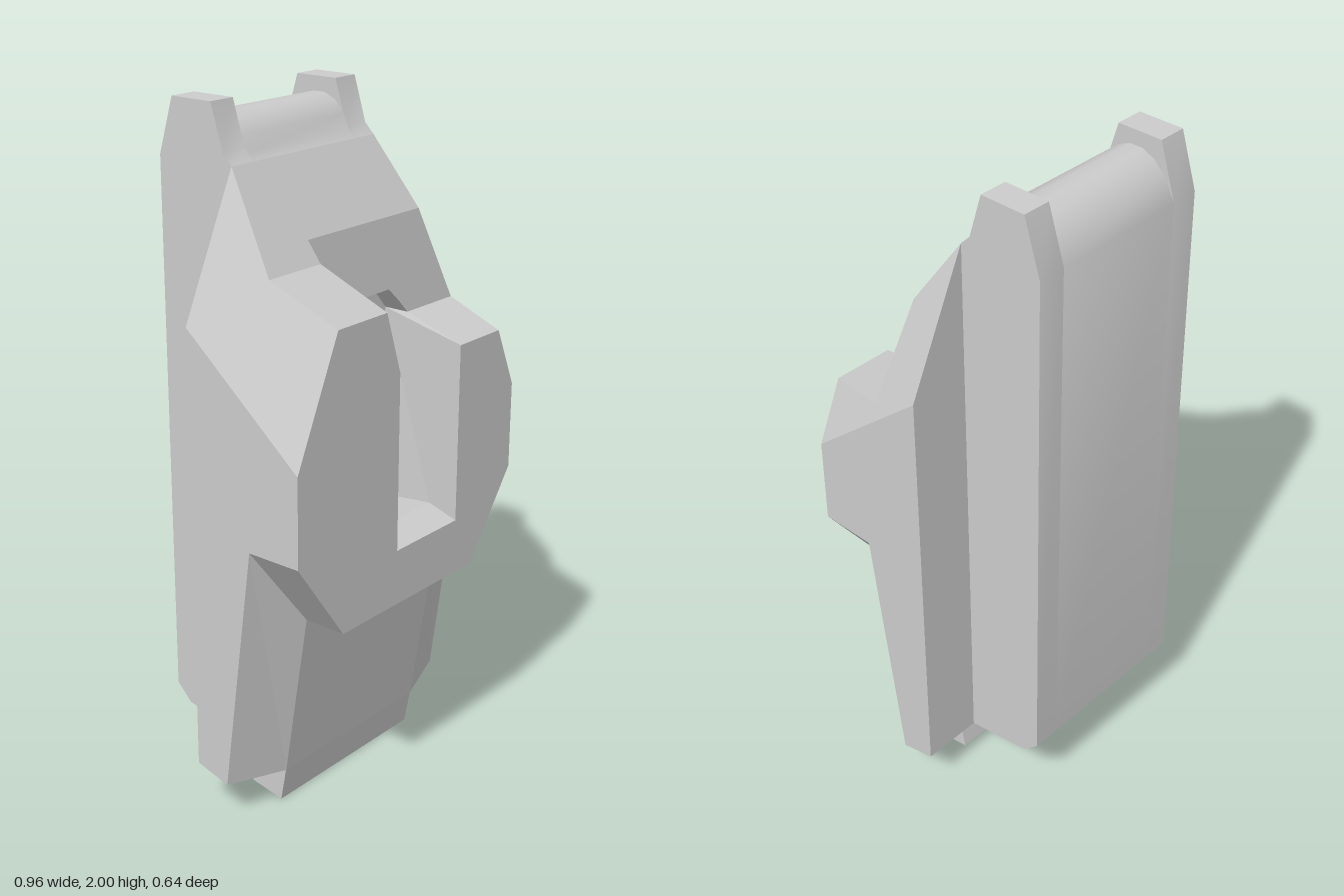
import * as THREE from 'three';
import { toCreasedNormals } from 'three/addons/utils/BufferGeometryUtils.js';

const material = new THREE.MeshStandardMaterial({ color: 0xcccccc, side: THREE.DoubleSide });
const flatMaterial = material.clone();
flatMaterial.flatShading = true;

// Triangulates flat polygons, each projected along its dominant axis.
function polygons(list) {
  const pos = [];
  for (const poly of list) {
    const n = new THREE.Vector3();
    poly.forEach((p, i) => {
      const q = poly[(i + 1) % poly.length];
      n.x += (p[1] - q[1]) * (p[2] + q[2]);
      n.y += (p[2] - q[2]) * (p[0] + q[0]);
      n.z += (p[0] - q[0]) * (p[1] + q[1]);
    });
    const a = n.toArray();
    const axis = [0, 1, 2].reduce((m, i) => (Math.abs(a[i]) > Math.abs(a[m]) ? i : m), 0);
    const u = (axis + 1) % 3, v = (axis + 2) % 3;
    const flat = poly.map((p) => new THREE.Vector2(p[u], p[v]));
    for (const t of THREE.ShapeUtils.triangulateShape(flat, [])) {
      const tri = t.map((i) => poly[i]);
      const [p, q, r] = tri.map((k) => new THREE.Vector3(...k));
      const d = q.clone().sub(p).cross(r.clone().sub(p)).dot(n);
      if (d < 0) tri.reverse();
      pos.push(...tri.flat());
    }
  }
  const g = new THREE.BufferGeometry();
  g.setAttribute('position', new THREE.Float32BufferAttribute(pos, 3));
  g.computeVertexNormals();
  return g;
}

// Extrudes a (z, y) side profile from x0 to x1.
function sideExtrude(profile, x0, x1) {
  const shape = new THREE.Shape(profile.map(([z, y]) => new THREE.Vector2(-z, y)));
  const g = new THREE.ExtrudeGeometry(shape, { depth: x1 - x0, bevelEnabled: false });
  g.rotateY(Math.PI / 2).translate(x0, 0, 0);
  return toCreasedNormals(g, 0.7);
}

const flip = ([x, y, z]) => [-x, y, z];
const mirror = (poly) => poly.map(flip).reverse();

export function createModel() {
  const group = new THREE.Group();
  const add = (name, geometry, mat = material) => {
    const mesh = new THREE.Mesh(geometry, mat);
    mesh.name = name;
    group.add(mesh);
  };

  // Back slab with two ears and a rounded bar between them
  const foot = [[-0.32, 0.24], [-0.27, 0.19], [-0.06, 0.15], [-0.06, 1.84]];
  const ear = [...foot, [-0.09, 1.87], [-0.13, 2], [-0.27, 2], [-0.32, 1.84]];
  const bar = [...foot, [-0.08, 1.86], [-0.1, 1.905], [-0.13, 1.94], [-0.17, 1.957],
    [-0.21, 1.957], [-0.25, 1.94], [-0.285, 1.905], [-0.32, 1.84]];
  add('leftEar', sideExtrude(ear, 0.21, 0.295));
  add('rightEar', sideExtrude(ear, -0.295, -0.21));
  add('backSlab', sideExtrude(bar, -0.21, 0.21));

  // Tab under the body
  add('bottomTab', sideExtrude([[0.11, 0.11], [0.09, 0], [-0.02, 0.02], [0.005, 0.15]], -0.295, 0.295));

  // Corners shared by both sides of the body, given on the right (-x)
  const A = [-0.295, 1.84, -0.06], B = [-0.48, 1.45, -0.06], C = [-0.48, 1.13, 0.32];
  const D = [-0.48, 0.87, 0.32], E = [-0.295, 0.615, 0.32], F = [-0.48, 0.87, 0.15];
  const G = [-0.295, 0.615, 0.19], H = [-0.48, 0.12, 0.05], I = [-0.295, 0.105, 0.11];
  const J = [-0.48, 0.15, -0.06], K = [-0.295, 0.15, -0.06];
  // High shoulder on the right, low shoulder on the left
  const h1 = [-0.35, 1.58, 0.115], h2 = [-0.32, 1.48, 0.32], h3 = [-0.12, 1.48, 0.32];
  const h4 = [-0.145, 1.58, 0.115], h5 = [-0.15, 1.64, 0.075];
  const l1 = [0.335, 1.64, 0.075], l2 = [0.455, 1.36, 0.11], l3 = [0.4, 1.31, 0.32];
  const l4 = [0.215, 1.31, 0.32], l5 = [0.245, 1.36, 0.11];
  // Slot corners
  const s1 = [-0.06, 1.3, 0.32], s2 = [-0.07, 1.355, 0.11];
  const s3 = [-0.06, 0.78, 0.32], s4 = [0.215, 0.78, 0.32];
  const arch = [s2, [-0.06, 1.4, 0.105], [-0.02, 1.44, 0.1], [0.17, 1.44, 0.1], [0.21, 1.4, 0.105], l5];

  const paired = [
    [D, F, G, E], [F, H, I, G],
    [B, J, H, F, D, C], [B, A, K, J],
  ];
  add('body', polygons([
    ...paired, ...paired.map(mirror),
    [A, h1, h4, h5, l1, flip(A)],
    [h1, h2, h3, h4],
    [h5, h4, h3, s1, s2],
    [h5, ...arch, l2, l1],
    [l5, l4, l3, l2],
    [A, B, C, h2, h1],
    [flip(A), l1, l2, l3, flip(C), flip(B)],
    [h2, C, D, E, flip(E), flip(D), flip(C), l3, l4, s4, s3, s1, h3],
    [E, G, flip(G), flip(E)],
    [G, I, flip(I), flip(G)],
    [I, H, flip(H), flip(I)],
    [H, J, flip(J), flip(H)],
  ]), flatMaterial);

  // Slot interior: raised lip, side walls, arched roof and back wall
  const depth = 0.03;
  const back = ([x, y]) => [x, y, depth];
  const lipR = [-0.06, 0.81, 0.225], lipL = [0.215, 0.81, 0.225];
  const floorR = [-0.06, 0.79, depth], floorL = [0.215, 0.79, depth];
  const roof = arch.slice(1).map((p, i) => [arch[i], back(arch[i]), back(p), p]);
  add('slot', polygons([
    [s3, s4, lipL, lipR], [lipR, lipL, floorL, floorR],
    [s1, s3, lipR, floorR, back(s2), s2],
    [s4, l4, l5, back(l5), floorL, lipL],
    ...roof,
    [floorR, floorL, ...arch.map(back).reverse()],
  ]), flatMaterial);

  // Curved guard and small lever inside the slot
  const guard = new THREE.Shape();
  guard.absarc(0, 1.07, 0.2, 0.35, 1.87, false);
  guard.absarc(0, 1.07, 0.15, 1.98, 0.28, true);
  const guardGeometry = new THREE.ExtrudeGeometry(guard, { depth: 0.07, bevelEnabled: false, curveSegments: 8 });
  add('guard', toCreasedNormals(guardGeometry.translate(0, 0, depth), 0.7));

  const lever = [[0.03, 1.03], [0.08, 1.03], [0.1, 0.93], [0.12, 0.93], [0.12, 0.9], [0.08, 0.9], [0.03, 0.99]];
  const leverGeometry = sideExtrude(lever, 0.075, 0.135);
  const p = leverGeometry.attributes.position;
  for (let i = 0; i < p.count; i++) {
    // Narrow the lever towards its lower end
    const k = 1 - 0.3 * (1.03 - p.getY(i)) / 0.13;
    p.setX(i, 0.11 + (p.getX(i) - 0.105) * k);
  }
  add('lever', leverGeometry, flatMaterial);

  return group;
}
